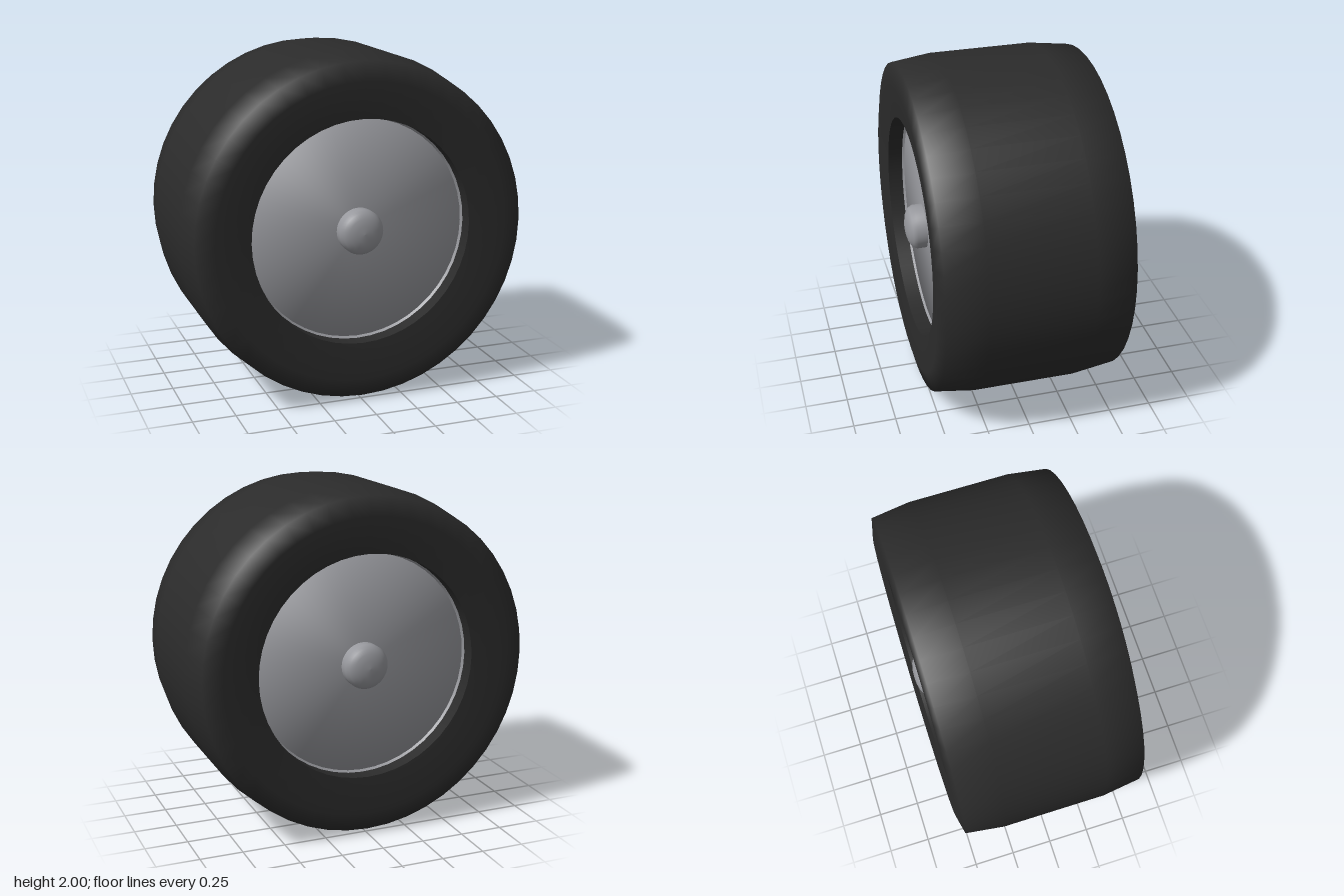
import * as THREE from 'three';

const SEGMENTS = 48;

// Spin a [radius, z] profile around the z axle.
function spin(name, profile, material) {
  const geometry = new THREE.LatheGeometry(
    profile.map(([r, z]) => new THREE.Vector2(r, z)), SEGMENTS);
  geometry.rotateX(Math.PI / 2);
  const mesh = new THREE.Mesh(geometry, material);
  mesh.name = name;
  return mesh;
}

export function createModel() {
  const rubber = new THREE.MeshStandardMaterial({ color: 0x2b2b2b });
  rubber.name = 'rubber';
  const metal = new THREE.MeshStandardMaterial({ color: 0x97989d });
  metal.name = 'metal';

  const wheel = new THREE.Group();
  wheel.name = 'wheel';

  // Tyre: sidewalls, shoulders and wide tread
  wheel.add(spin('tyre', [
    [0.65, -0.53], [0.86, -0.555], [0.97, -0.53], [1, -0.3],
    [1, 0.3], [0.97, 0.53], [0.86, 0.555], [0.65, 0.53],
  ], rubber));

  // Both sides of the wheel are the same
  for (const side of ['front', 'back']) {
    const face = new THREE.Group();
    face.name = side + 'Face';

    // Inner wall of the tyre opening
    face.add(spin('tyreOpening', [[0.65, 0.53], [0.65, 0.4]], rubber));

    // Thin lip around the disc
    face.add(spin('rimLip', [[0.652, 0.445], [0.635, 0.425]], metal));

    // Shallow disc, softly rounded over its rim
    face.add(spin('hubDisc', [[0.64, 0], [0.64, 0.43], [0, 0.45]], metal));

    // Rounded cap on the axle
    face.add(spin('axleCap', [
      [0.13, 0.42], [0.13, 0.5], [0.115, 0.525], [0.085, 0.542],
      [0.045, 0.552], [0, 0.555],
    ], metal));

    if (side === 'back') face.rotation.y = Math.PI;
    wheel.add(face);
  }

  wheel.position.y = 1;
  const model = new THREE.Group();
  model.name = 'model';
  model.add(wheel);
  return model;
}
